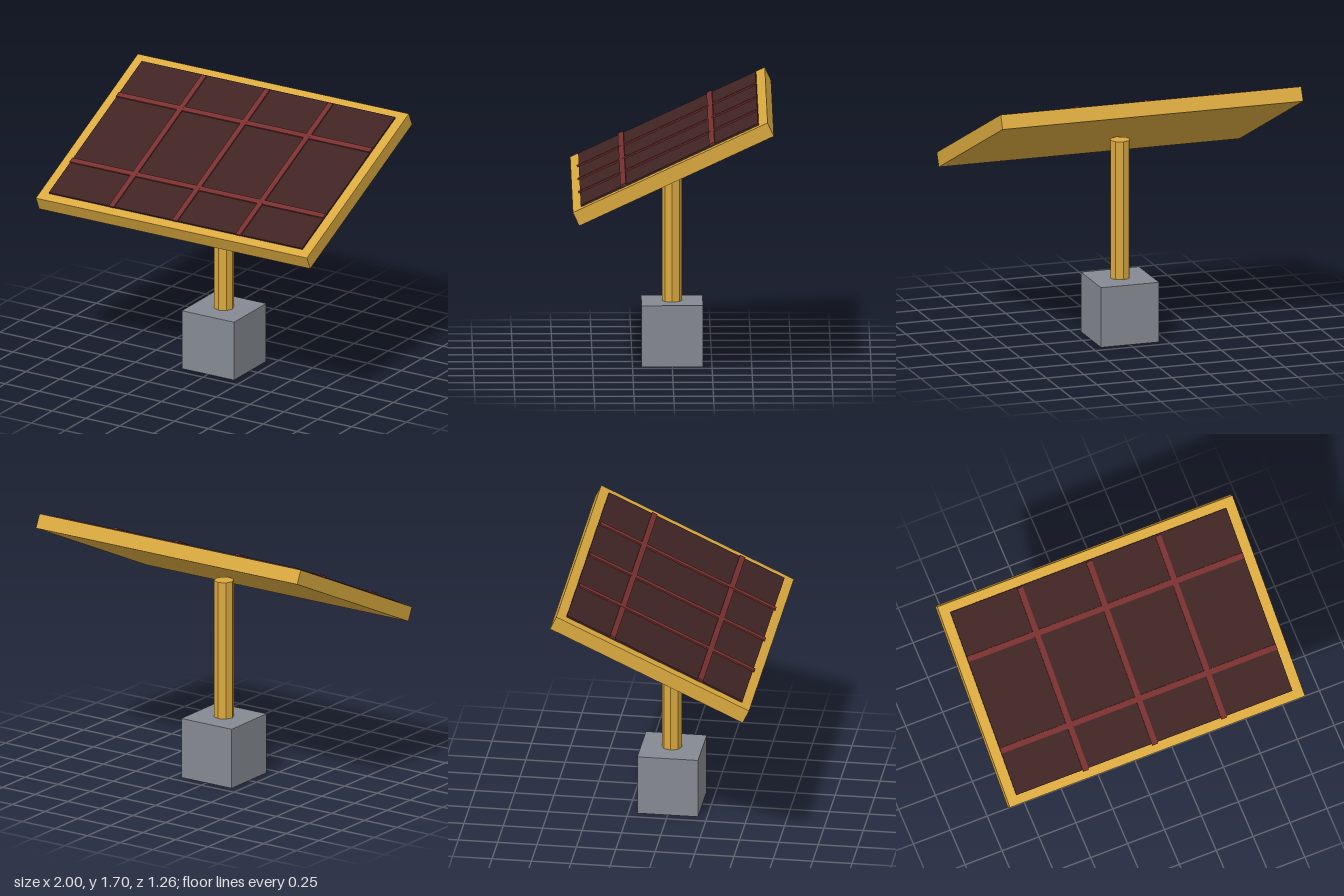
import * as THREE from 'three';

const mat = (name, color) => {
  const m = new THREE.MeshStandardMaterial({ color });
  m.name = name;
  return m;
};

export function createModel() {
  const gold = mat('gold', 0xdaa93f);
  const concrete = mat('concrete grey', 0x858991);
  const dark = mat('dark cell', 0x402424);
  const red = mat('dull red', 0x782f2f);

  const model = new THREE.Group();
  model.name = 'solarPanel';

  const add = (parent, name, geometry, material, x, y, z) => {
    const mesh = new THREE.Mesh(geometry, material);
    mesh.name = name;
    mesh.position.set(x, y, z);
    parent.add(mesh);
  };

  // Footing block and octagonal post
  add(model, 'base', new THREE.BoxGeometry(0.386, 0.39, 0.386), concrete, 0, 0.195, 0);
  const postGeometry = new THREE.CylinderGeometry(0.064, 0.064, 0.9, 8).toNonIndexed();
  postGeometry.computeVertexNormals();
  add(model, 'post', postGeometry, gold, 0, 0.84, 0);

  // Tilted panel, low edge to the front
  const panel = new THREE.Group();
  panel.name = 'panel';
  panel.position.y = 1.372;
  panel.rotation.x = THREE.MathUtils.degToRad(25);
  model.add(panel);

  const width = 1.87, depth = 1.23, bar = 0.037;
  add(panel, 'frame', new THREE.BoxGeometry(2, 0.094, 1.35), gold, 0, 0, 0);
  add(panel, 'cellSheet', new THREE.BoxGeometry(width, 0.012, depth), dark, 0, 0.052, 0);

  // Raised grid bars, set slightly toward the low edge
  for (const i of [-1, 0, 1]) {
    add(panel, 'columnBar', new THREE.BoxGeometry(bar, 0.01, depth), red, i * width / 4, 0.062, 0.01);
  }
  for (const i of [-1, 1]) {
    add(panel, 'rowBar', new THREE.BoxGeometry(width, 0.009, bar), red, 0, 0.062, i * depth / 4 + 0.01);
  }

  return model;
}
